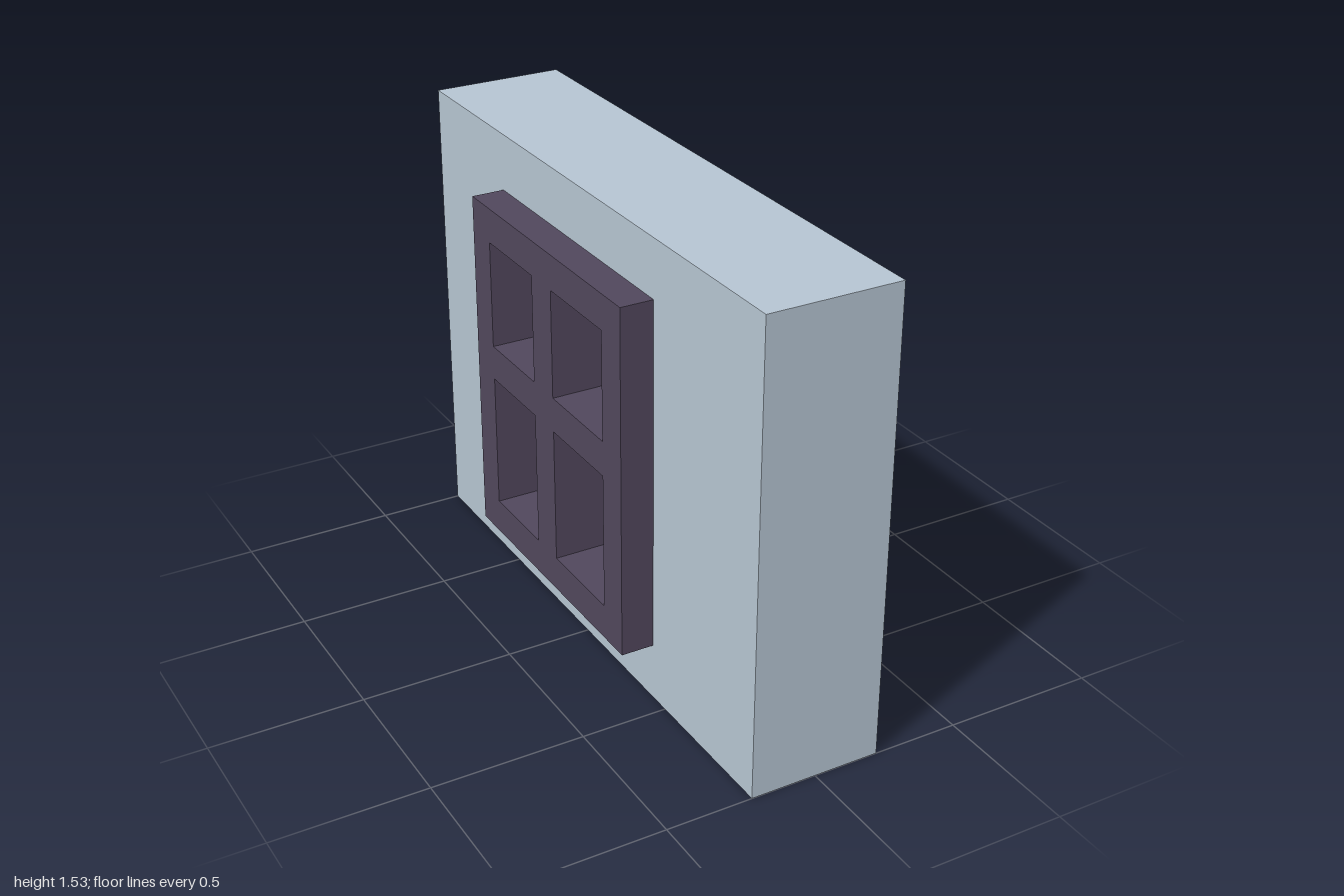
import * as THREE from 'three';

// Rectangle given by its z range and y range; u = -z so a quarter turn puts the extrusion along x
function rect(Type, z0, z1, y0, y1) {
  const p = new Type();
  p.moveTo(-z1, y0);
  p.lineTo(-z0, y0);
  p.lineTo(-z0, y1);
  p.lineTo(-z1, y1);
  p.closePath();
  return p;
}

// Slab of the given width, centred on x = 0, with rectangular openings cut through it
function slab(name, outline, openings, width, color) {
  const shape = rect(THREE.Shape, ...outline);
  shape.holes = openings.map((o) => rect(THREE.Path, ...o));
  const geometry = new THREE.ExtrudeGeometry(shape, { depth: width, bevelEnabled: false });
  geometry.translate(0, 0, -width / 2);
  geometry.rotateY(Math.PI / 2);
  const mesh = new THREE.Mesh(geometry, new THREE.MeshStandardMaterial({ color }));
  mesh.name = name;
  return mesh;
}

export function createModel() {
  const group = new THREE.Group();
  group.name = 'wallWithWindow';

  const frame = [-0.527, 0.426, 0.19, 1.346];

  // Four panes: two columns by two rows
  const panes = [];
  for (const [z0, z1] of [[-0.413, -0.125], [0, 0.315]]) {
    for (const [y0, y1] of [[0.305, 0.757], [0.873, 1.231]]) panes.push([z0, z1, y0, y1]);
  }

  // Wall with an opening that takes the frame
  group.add(slab('wall', [-1, 1, 0, 1.533], [frame], 0.434, 0xb6c5d2));
  // Frame runs through the wall and stands proud on both sides
  group.add(slab('windowFrame', frame, panes, 0.65, 0x51475c));

  return group;
}
